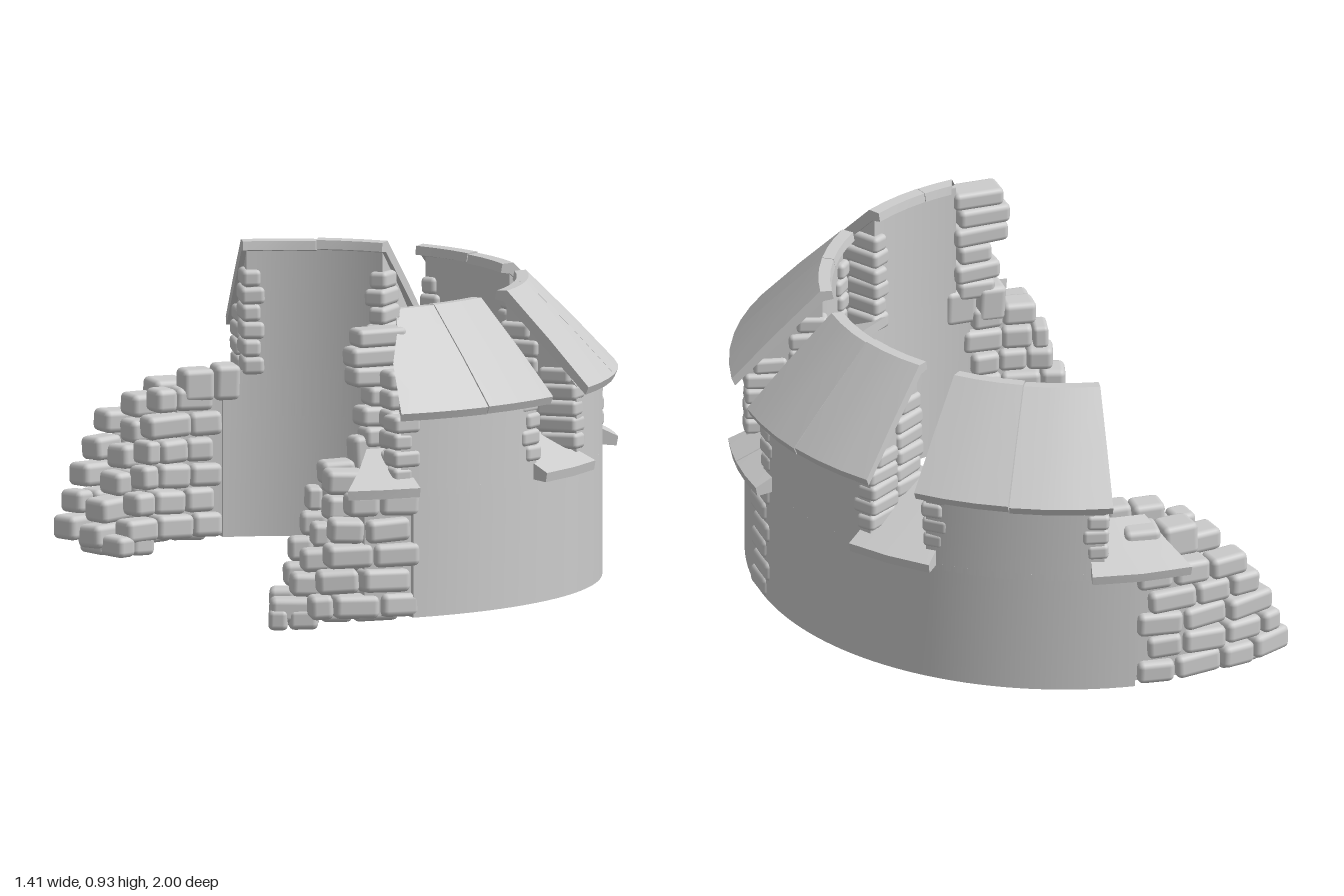
import * as THREE from 'three';
import { toCreasedNormals } from 'three/addons/utils/BufferGeometryUtils.js';
import { RoundedBoxGeometry } from 'three/addons/geometries/RoundedBoxGeometry.js';

const CX = -0.295;             // centre of the ring
const RAD = Math.PI / 180;
const R_IN = 0.722, R_OUT = 0.948;
const COLUMNS = [[0.705, 0.79], [0.78, 0.875], [0.865, 0.953]]; // inner, middle, outer stones

export function createModel() {
  const model = new THREE.Group();
  model.name = 'ruinedBattlement';
  const material = new THREE.MeshStandardMaterial({ color: 0xcccccc });

  let seed = 7;
  const rand = () => (seed = (seed * 16807) % 2147483647) / 2147483647;
  const jitter = (s) => (rand() - 0.5) * 2 * s;

  const roofY = (r) => 0.665 + (1 - Math.max(r, 0.73)) * 1.01;
  const sillY = (r) => 0.438 + (1 - r) * 0.46;

  const group = (name, parent = model) => {
    const g = new THREE.Group();
    g.name = name;
    parent.add(g);
    return g;
  };

  // Sweeps an [r, y] profile between two angles (degrees from +x towards +z).
  // cut(r) optionally gives a different end angle for each radius.
  function sector(name, parent, profile, a0, a1, steps, cut) {
    const shape = new THREE.Shape(profile.map(([r, y]) => new THREE.Vector2(r, y)));
    const geo = new THREE.ExtrudeGeometry(shape, { depth: 1, steps, bevelEnabled: false });
    const p = geo.attributes.position;
    for (let i = 0; i < p.count; i++) {
      const r = p.getX(i);
      const end = cut ? cut(r) : a1;
      const a = (a0 + (end - a0) * p.getZ(i)) * RAD;
      p.setXYZ(i, CX + r * Math.cos(a), p.getY(i), r * Math.sin(a));
    }
    const mesh = new THREE.Mesh(toCreasedNormals(geo, 0.45), material);
    mesh.name = name;
    parent.add(mesh);
    return mesh;
  }

  // One worn stone filling a polar cell
  function stone(parent, a0, a1, r0, r1, y0, y1, wobble = 0.03) {
    const r = (r0 + r1) / 2, a = ((a0 + a1) / 2) * RAD;
    const w = r1 - r0, h = y1 - y0, d = Math.abs(a1 - a0) * RAD * r;
    const geo = new RoundedBoxGeometry(w, h, d, 2, Math.min(0.018, Math.min(w, h, d) * 0.28));
    const mesh = new THREE.Mesh(geo, material);
    mesh.name = 'stone';
    const rr = r + jitter(wobble * 0.13);
    mesh.position.set(CX + rr * Math.cos(a), (y0 + y1) / 2, rr * Math.sin(a));
    mesh.rotation.set(jitter(wobble), -a + jitter(wobble * 1.5), jitter(wobble), 'YXZ');
    parent.add(mesh);
  }

  // Smooth ring wall
  sector('ringWall', model, [[R_IN, 0.04], [R_OUT, 0.04], [R_OUT, 0.42], [R_IN, 0.54]], -84, 86, 72);

  // Sloping sill slabs in the gaps
  const sillProfile = (inner) => [[inner, sillY(inner) - 0.03], [0.95, 0.412], [0.995, 0.408], [1, 0.436],
    [0.9, sillY(0.9)], [inner, sillY(inner)]];
  const sills = group('sills');
  for (const [a0, a1] of [[-47.5, -31.5], [-5, 5.5], [5.8, 14.5], [42, 58.5]])
    sector('sillSlab', sills, sillProfile(0.69), a0, a1, 2);
  // the two end sills are broken off towards the inside
  sector('brokenSill', sills, sillProfile(0.8), 86, 99, 2, (r) => 99 - (1 - r) * 35);
  sector('brokenSill', sills, sillProfile(0.8), 76, 93.5, 2, (r) => 93.5 - (1 - r) * 25).scale.z = -1;

  // Inner and outer stacks of stones at a merlon end; dir points into the merlon
  function jamb(parent, a, dir) {
    const g = group('jamb', parent);
    [[0.705, 0.825], [0.828, 0.954]].forEach(([r0, r1], k) => {
      const base = sillY((r0 + r1) / 2) - 0.02;
      const top = roofY(r1 - 0.03) - 0.03;
      const n = Math.round((top - base) / 0.054);
      const h = (top - base) / n;
      for (let i = 0; i < n; i++) {
        const len = (i + k) % 2 ? 3.8 : 4.8;
        // stones shorten where the roof slopes down over them
        const y1 = base + (i + 1) * h;
        const reach = Math.min(r1, 1 - (y1 - 0.64) / 1.01);
        stone(g, a - dir * (0.2 + rand() * 0.5), a + dir * len, r0, reach, base + i * h, y1 - 0.001);
      }
    });
  }

  // Merlons with two-slab pitched roofs
  const wallProfile = [[R_IN, 0.4], [R_OUT, 0.4], [R_OUT, 0.66], [0.735, 0.9], [R_IN, 0.905]];
  const merlons = [[-79, -45], [-34.5, -0.5], [12, 44], [57, 89]];
  merlons.forEach(([a0, a1], m) => {
    const g = group('merlon', model);
    const broken = m === 3;
    // the broken merlon has lost the upper corner of its wall and last slab
    const tear = (end, rate) => (r) => end - Math.max(0, 0.9 - r) * rate;
    sector('merlonWall', g, wallProfile, a0 + 0.6, a1 - 0.6, 16, broken ? tear(a1 - 0.6, 34) : null);
    jamb(g, a0, 1);
    if (!broken) jamb(g, a1, -1);
    const mid = (a0 + a1) / 2 + jitter(1);
    [[a0 - 0.6, mid - 0.1], [mid + 0.1, a1 + 0.4]].forEach(([s0, s1], i) => {
      const lift = jitter(0.003);
      const profile = [[0.985, 0.637], [0.995, 0.66], [0.87, 0.793], [0.73, 0.933], [0.695, 0.931], [0.69, 0.905], [0.72, 0.9]]
        .map(([r, y]) => [r, y + lift]);
      sector('roofSlab', g, profile, s0, s1, 3, broken && i === 1 ? tear(s1, 46) : null);
    });
  });

  // Stones left where the front merlon broke, rising in steps to the inside
  const remnants = group('brokenMerlonStones');
  [[0.83, 0.885, 82, 94], [0.77, 0.83, 83, 95.5], [0.71, 0.77, 82, 95], [0.65, 0.71, 83, 91], [0.59, 0.65, 82, 93], [0.53, 0.59, 83, 92]]
    .forEach(([y0, y1, start, end], i) => {
      stone(remnants, start, end, 0.7, 0.79, y0, y1);
      if (i) stone(remnants, 83, 89, 0.785, 0.87, y0 - 0.06, y1 - 0.062);
    });
  for (let i = 0; i < 4; i++)
    stone(remnants, i % 2 ? 84.5 : 86, 90, 0.86, 0.954, 0.44 + i * 0.051, 0.49 + i * 0.051);

  // Rubble on the broken sills
  function rubble(side, end) {
    const g = group('sillRubble');
    [[0.705, 0.79, 0.5, 0.555], [0.785, 0.89, 0.46, 0.515]].forEach(([r0, r1, y0, y1], k) => {
      for (let a = 80 + k * 3, b; a < end - k * 2; a = b + 0.2) {
        b = a + 6 + rand() * 2;
        stone(g, side * a, side * b, r0, r1, y0 - 0.05, y1 + jitter(0.012), 0.06);
      }
    });
  }
  rubble(1, 92);
  rubble(-1, 93);

  // Ragged, stepped wall ends: reach of inner, middle and outer stones at the
  // foot, and how fast each recedes with height (degrees per unit)
  function raggedEnd(name, side, reach, recede, footEnd) {
    const g = group(name);
    const core = [[0.735, 0.05], [0.93, 0.05], [0.93, 0.4], [0.735, 0.46]];
    sector('core', g, core, side > 0 ? 84 : -95, side > 0 ? 95 : -83, 6);
    const h = 0.076;
    COLUMNS.forEach(([r0, r1], k) => {
      for (let i = 0; i < (k < 2 ? 6 : 5); i++) {
        const y = 0.042 + i * h + (k === 1 ? -0.02 : 0);
        const limit = reach[k] - i * h * recede[k] + jitter(1.2);
        let a = 84.5 + ((i + k) % 2) * 2;
        while (a < limit - 2) {
          let b = a + 6.5 + rand() * 3;
          if (limit - b < 3.5) b = limit;
          stone(g, side * a, side * b, r0, r1, y + 0.001, y + h - 0.002 - rand() * 0.005, 0.05);
          a = b + 0.15;
        }
      }
    });
    // footing stones below the wall
    for (let a = 102; a < footEnd - 2; a += 6)
      COLUMNS.slice(0, 2).forEach(([r0, r1], k) =>
        stone(g, side * (a + k), side * Math.min(a + k + 6, footEnd), r0, r1 + 0.01, 0.003, 0.065));
  }
  raggedEnd('frontWallEnd', 1, [113, 112, 106], [28, 30, 24], 113);
  raggedEnd('backWallEnd', -1, [110, 114, 116], [26, 30, 32], 113);

  // Column of stones in the outer face below the side gap
  const patch = group('sideStoneColumn');
  for (let i = 0; i < 6; i++) {
    const y = 0.042 + i * 0.063;
    stone(patch, i % 2 ? -4.2 : -2.6, i % 2 ? 4.2 : 5.6, 0.87, 0.957, y, y + 0.061);
  }
  return model;
}
